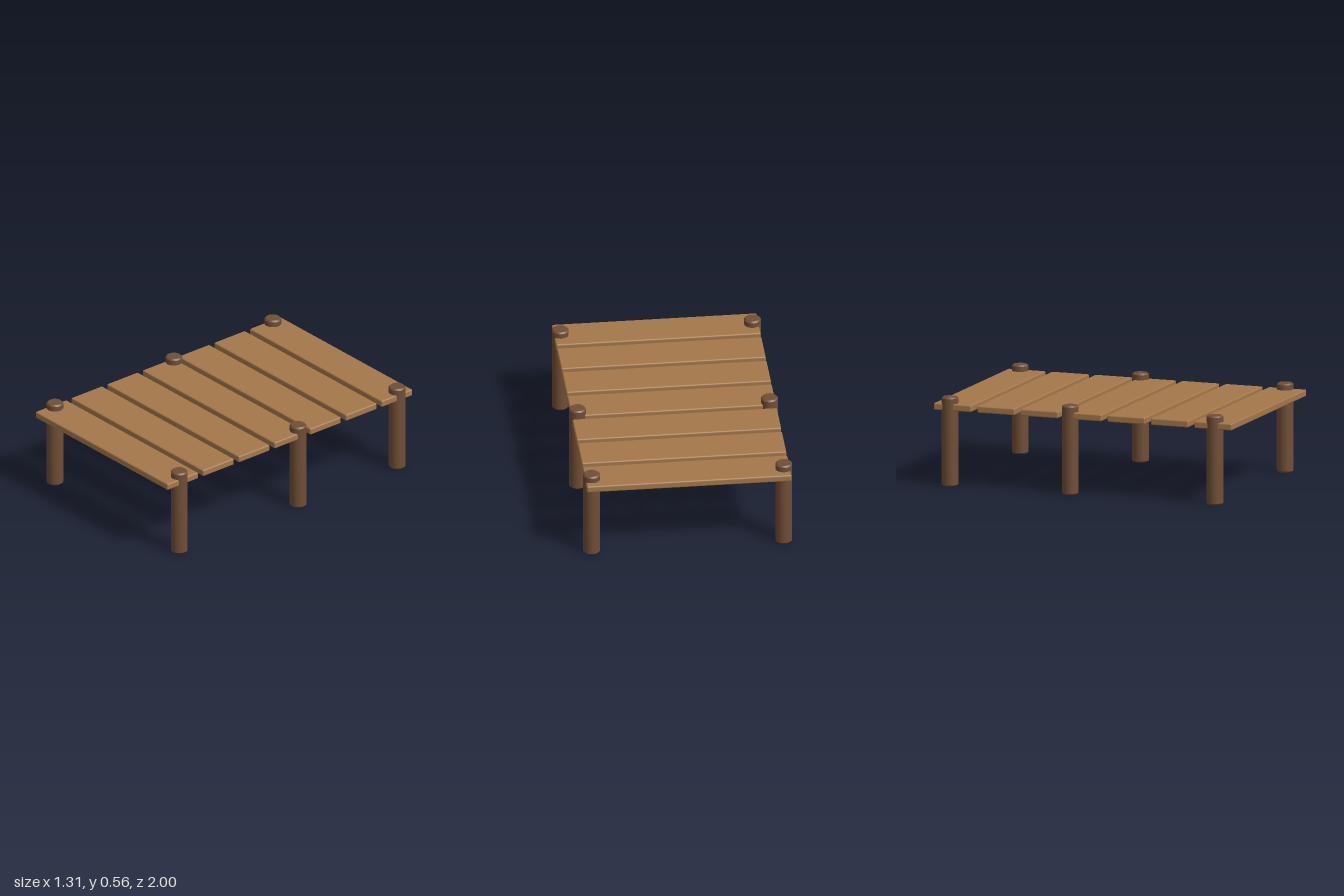
import * as THREE from 'three';
import { RoundedBoxGeometry } from 'three/addons/geometries/RoundedBoxGeometry.js';
import { toCreasedNormals } from 'three/addons/utils/BufferGeometryUtils.js';

export function createModel() {
  const dock = new THREE.Group();
  dock.name = 'dock';
  const plankWood = new THREE.MeshStandardMaterial({ color: 0xa4784b });
  plankWood.name = 'plank wood';
  const postWood = new THREE.MeshStandardMaterial({ color: 0x704e36 });
  postWood.name = 'post wood';

  // Seven evenly spaced deck planks with softened edges
  const count = 7, width = 0.252, pitch = (2 - width) / (count - 1);
  const plankGeometry = new RoundedBoxGeometry(1.286, 0.044, width, 2, 0.009);
  for (let i = 0; i < count; i++) {
    const plank = new THREE.Mesh(plankGeometry, plankWood);
    plank.name = `plank${i + 1}`;
    plank.position.set(0, 0.502, -1 + width / 2 + i * pitch);
    dock.add(plank);
  }

  // Three pairs of round posts with bevelled rims, rising through the deck
  const radius = 0.053, height = 0.565, bevel = 0.009;
  const profile = [
    [0, 0], [radius - bevel, 0], [radius, bevel],
    [radius, height - bevel], [radius - bevel, height], [0, height],
  ].map(([x, y]) => new THREE.Vector2(x, y));
  const postGeometry = toCreasedNormals(new THREE.LatheGeometry(profile, 24), 0.6);
  const rows = [['front', 0.872], ['middle', -0.098], ['back', -0.905]];
  for (const [row, z] of rows) {
    for (const [side, sign] of [['Left', 1], ['Right', -1]]) {
      const post = new THREE.Mesh(postGeometry, postWood);
      post.name = `${row}${side}Post`;
      post.position.set(sign * 0.604, 0, z);
      dock.add(post);
    }
  }
  return dock;
}
